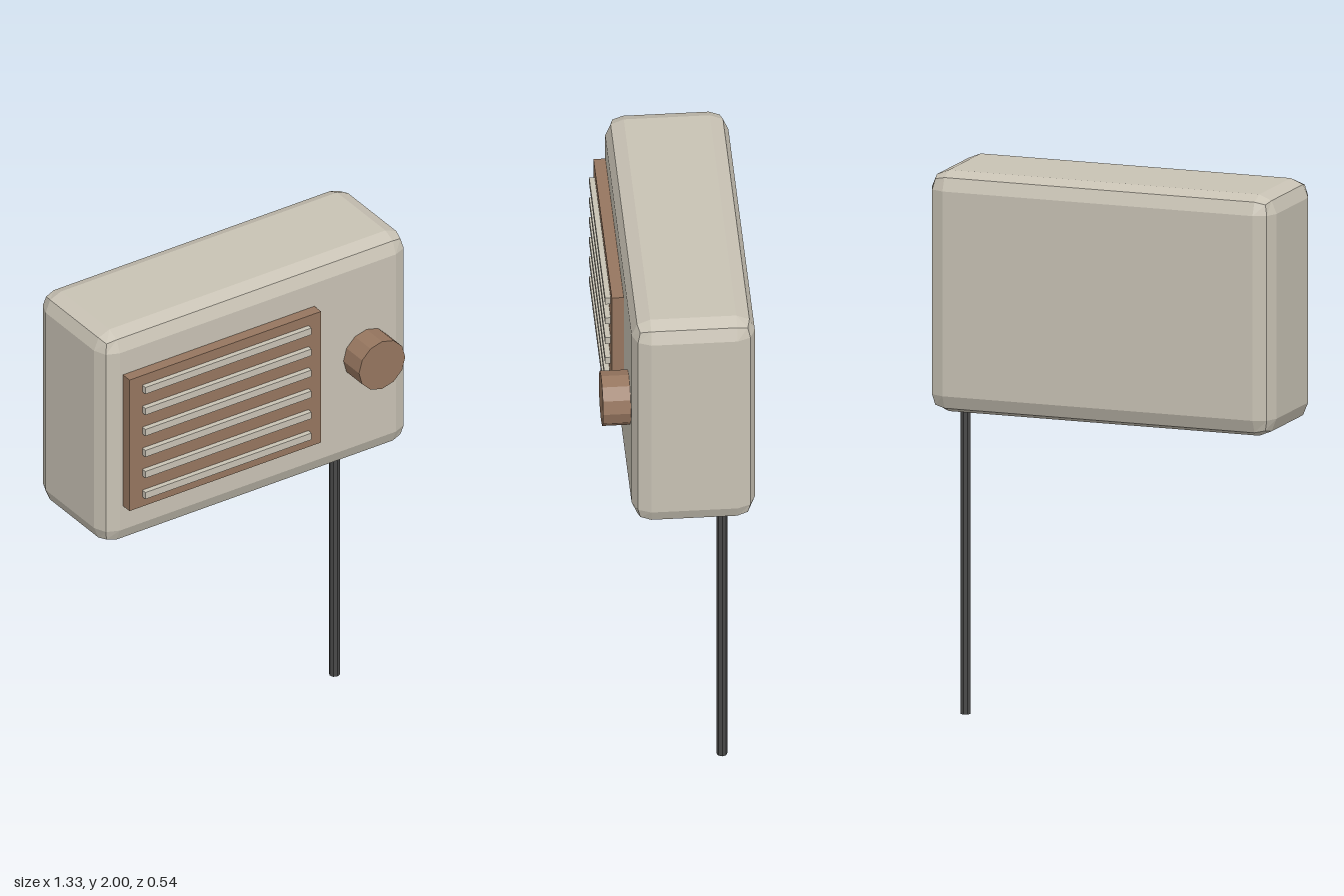
import * as THREE from 'three';
import { RoundedBoxGeometry } from 'three/addons/geometries/RoundedBoxGeometry.js';

const flat = (name, color) => {
  const m = new THREE.MeshStandardMaterial({ color, flatShading: true });
  m.name = name;
  return m;
};

export function createModel() {
  const cream = flat('cream', 0xc8c2b4);
  const brown = flat('brown', 0x96765f);
  const dark = flat('dark grey', 0x484848);
  const group = new THREE.Group();

  const add = (name, geometry, material, x, y, z) => {
    const mesh = new THREE.Mesh(geometry, material);
    mesh.name = name;
    mesh.position.set(x, y, z);
    group.add(mesh);
    return mesh;
  };

  // Case with chamfered edges
  add('case', new RoundedBoxGeometry(1.33, 0.885, 0.444, 1, 0.067), cream, 0, 1.5575, -0.05);

  // Speaker panel and its raised slats
  add('speakerPanel', new THREE.BoxGeometry(0.83, 0.555, 0.09), brown, -0.17, 1.56, 0.17);
  for (let i = 0; i < 6; i++) {
    add('slat' + (i + 1), new THREE.BoxGeometry(0.72, 0.028, 0.04), cream, -0.17, 1.338 + i * 0.089, 0.215);
  }

  // Tuning knob
  const knob = add('knob', new THREE.CylinderGeometry(0.1, 0.1, 0.14, 12), brown, 0.471, 1.56, 0.202);
  knob.rotation.x = Math.PI / 2;

  // Thin rod below the case
  add('rod', new THREE.CylinderGeometry(0.02, 0.02, 1.2, 8), dark, 0.554, 0.6, -0.157);

  return group;
}
